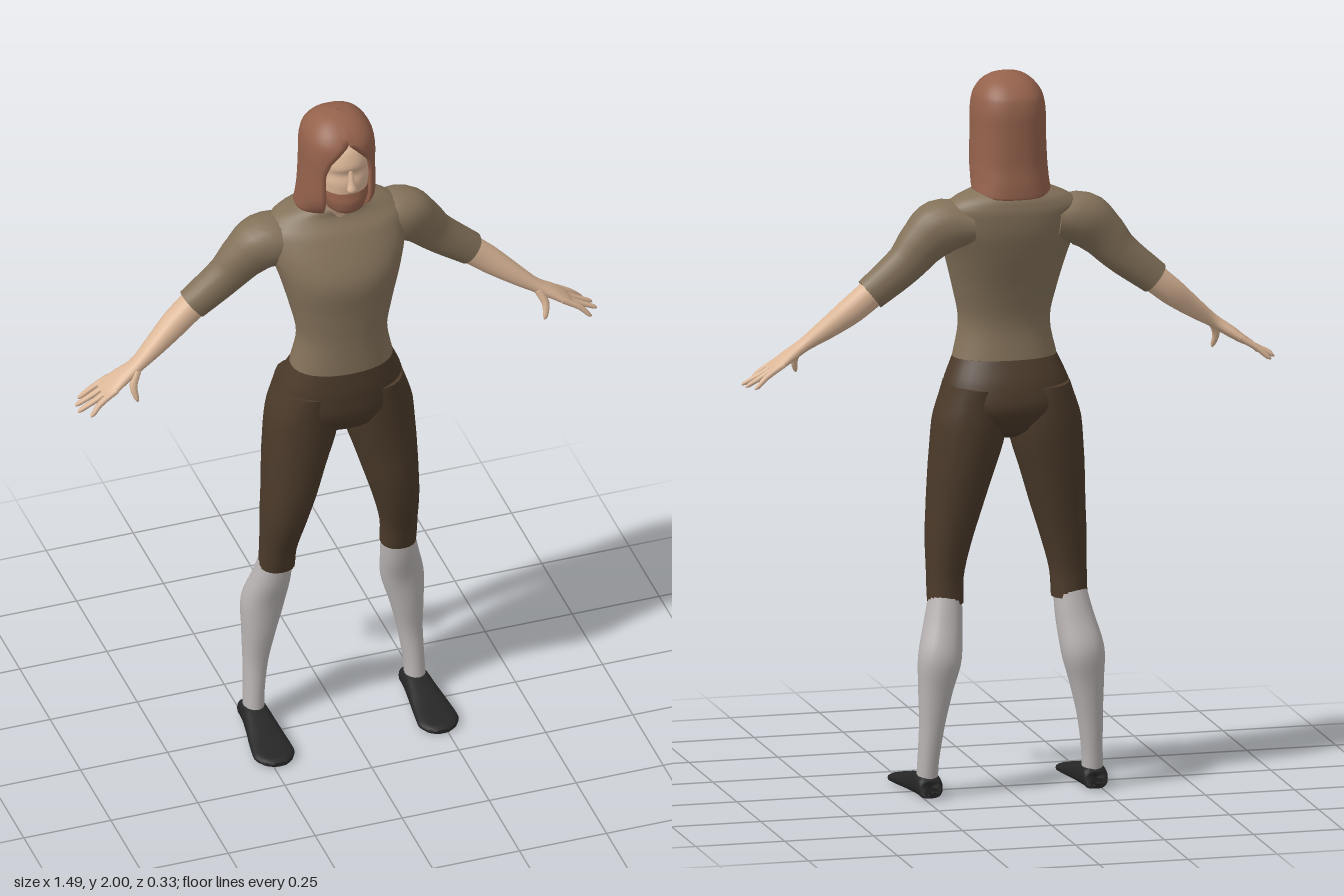
import * as THREE from 'three';

const mat = (name, color, extra = {}) => new THREE.MeshStandardMaterial({ name, color, ...extra });
const V = (x, y, z) => new THREE.Vector3(x, y, z);

// signed power used for superellipse cross-sections
const pw = (v, n) => Math.sign(v) * Math.pow(Math.abs(v), 2 / n);

// Loft through sections [x, y, z, a, b]: a is the half size across, b the half size in depth.
function loft(sections, { n = 2.2, seg = 20, sub = 4 } = {}) {
  const path = new THREE.CatmullRomCurve3(sections.map(s => V(s[0], s[1], s[2])));
  const size = new THREE.CatmullRomCurve3(sections.map(s => V(s[3], s[4], 0)));
  const rows = (sections.length - 1) * sub;
  const pos = [], idx = [], centres = [];
  for (let i = 0; i <= rows; i++) {
    const t = i / rows, p = path.getPoint(t), r = size.getPoint(t);
    const T = path.getPoint(Math.min(1, t + 0.01)).sub(path.getPoint(Math.max(0, t - 0.01)));
    let u, v = V(0, 0, 1);
    if (Math.abs(T.z) > Math.hypot(T.x, T.y)) { u = V(-Math.sign(T.z), 0, 0); v = V(0, 1, 0); }
    else u = V(T.y, -T.x, 0).normalize();
    centres.push(p);
    for (let j = 0; j < seg; j++) {
      const th = j / seg * Math.PI * 2;
      const q = p.clone().addScaledVector(u, pw(Math.cos(th), n) * Math.max(r.x, 0.001))
        .addScaledVector(v, pw(Math.sin(th), n) * Math.max(r.y, 0.001));
      pos.push(q.x, q.y, q.z);
    }
  }
  for (let i = 0; i < rows; i++) for (let j = 0; j < seg; j++) {
    const a = i * seg + j, b = i * seg + (j + 1) % seg;
    idx.push(a, a + seg, b, b, a + seg, b + seg);
  }
  // flat end caps with their own vertices
  for (const end of [0, rows]) {
    const base = pos.length / 3;
    pos.push(...pos.slice(end * seg * 3, (end + 1) * seg * 3));
    const c = centres[end];
    pos.push(c.x, c.y, c.z);
    for (let j = 0; j < seg; j++) {
      const a = base + j, b = base + (j + 1) % seg;
      end ? idx.push(base + seg, b, a) : idx.push(base + seg, a, b);
    }
  }
  return geometry(pos, idx);
}

function geometry(pos, idx) {
  const g = new THREE.BufferGeometry();
  g.setAttribute('position', new THREE.Float32BufferAttribute(pos, 3));
  g.setIndex(idx);
  g.computeVertexNormals();
  return g;
}

// Long hair: rows [y, half width, front z, back z, half gap around the face]
function hairGeometry() {
  const rows = [
    [1.695, 0.085, -0.02, -0.14, 0.05], [1.69, 0.105, 0.005, -0.163, 0.055], [1.72, 0.105, 0.045, -0.162, 0.06],
    [1.76, 0.103, 0.066, -0.156, 0.062], [1.84, 0.1, 0.07, -0.154, 0.063], [1.89, 0.1, 0.071, -0.153, 0.05],
    [1.925, 0.096, 0.068, -0.147, 0.02], [1.945, 0.09, 0.06, -0.138, 0], [1.97, 0.073, 0.04, -0.116, 0],
    [1.99, 0.045, 0.008, -0.08, 0], [2.0, 0.002, -0.035, -0.039, 0],
  ];
  const A = new THREE.CatmullRomCurve3(rows.map(r => V(r[0], r[1], r[2])));
  const B = new THREE.CatmullRomCurve3(rows.map(r => V(r[3], r[4], 0)));
  const pos = [], idx = [], N = 32, M = 40, W = N + 3, n = 2.4;
  for (let i = 0; i <= M; i++) {
    const a = A.getPoint(i / M), b = B.getPoint(i / M);
    const gap = Math.min(Math.max(b.y, 0), a.y * 0.95);
    const cz = (a.z + b.x) / 2, rz = (a.z - b.x) / 2;
    const a0 = Math.asin(Math.pow(gap / a.y, n / 2));
    for (let j = -1; j <= N + 1; j++) {
      const k = Math.min(Math.max(j, 0), N);
      const f = a0 + (Math.PI * 2 - 2 * a0) * k / N;
      const inner = j !== k && a.x < 1.95 ? 0.05 : 0;
      const z = cz + rz * pw(Math.cos(f), n) - inner;
      const droop = 0.025 * Math.max(0, -z / 0.16) * Math.max(0, 1 - (a.x - 1.69) / 0.1);
      pos.push(a.y * pw(Math.sin(f), n), a.x - droop, z);
    }
  }
  for (let i = 0; i < M; i++) for (let j = 0; j < W - 1; j++) {
    const a = i * W + j;
    idx.push(a, a + 1, a + W, a + 1, a + W + 1, a + W);
  }
  return geometry(pos, idx);
}

export function createModel() {
  const model = new THREE.Group();
  model.name = 'standingMan';
  const skin = mat('skin', 0xdcb798), shirt = mat('shirtBrown', 0x84725a), pants = mat('trouserBrown', 0x4b3a2a);
  const sock = mat('stockingGrey', 0xbab4b4), shoe = mat('shoeBlack', 0x262626);
  const hair = mat('hairBrown', 0x95624c, { side: THREE.DoubleSide });
  const add = (name, geo, material) => {
    const m = new THREE.Mesh(geo, material);
    m.name = name;
    model.add(m);
  };

  // trunk
  add('shirtBody', loft([
    [0, 1.195, -0.005, 0.146, 0.096], [0, 1.3, 0, 0.126, 0.09], [0, 1.4, -0.008, 0.145, 0.103],
    [0, 1.5, -0.022, 0.172, 0.122], [0, 1.57, -0.046, 0.194, 0.116], [0, 1.63, -0.067, 0.195, 0.1],
    [0, 1.665, -0.078, 0.155, 0.08], [0, 1.69, -0.068, 0.09, 0.066], [0, 1.7, -0.06, 0.05, 0.045],
  ], { seg: 32 }), shirt);
  add('trouserHips', loft([
    [0, 0.985, -0.02, 0.04, 0.05], [0, 1.01, -0.02, 0.12, 0.09], [0, 1.08, -0.025, 0.183, 0.12],
    [0, 1.14, -0.018, 0.172, 0.115], [0, 1.205, -0.005, 0.144, 0.097],
  ], { seg: 32 }), pants);

  // head
  add('neck', loft([[0, 1.64, -0.055, 0.025, 0.05], [0, 1.675, -0.05, 0.035, 0.054], [0, 1.71, -0.035, 0.052, 0.055],
    [0, 1.78, -0.03, 0.052, 0.055]]), skin);
  add('face', loft([
    [0, 1.725, 0.03, 0.02, 0.025], [0, 1.745, 0.016, 0.05, 0.06], [0, 1.785, 0, 0.066, 0.08],
    [0, 1.83, -0.005, 0.072, 0.086], [0, 1.855, -0.01, 0.073, 0.084], [0, 1.88, -0.01, 0.073, 0.09],
    [0, 1.92, -0.02, 0.07, 0.085], [0, 1.95, -0.03, 0.05, 0.06],
  ], { seg: 24 }), skin);
  add('beard', loft([
    [0, 1.718, 0.033, 0.02, 0.026], [0, 1.738, 0.019, 0.053, 0.064], [0, 1.775, 0.004, 0.068, 0.083],
    [0, 1.797, 0, 0.069, 0.082],
  ], { seg: 24 }), hair);
  add('nose', loft([[0, 1.872, 0.073, 0.006, 0.006], [0, 1.835, 0.082, 0.009, 0.011], [0, 1.815, 0.086, 0.014, 0.014],
    [0, 1.803, 0.083, 0.008, 0.008]], { seg: 10 }), skin);
  add('longHair', hairGeometry(), hair);

  // limbs, built once for each side
  for (const [side, s] of [['left', 1], ['right', -1]]) {
    const limb = (name, sections, material, opts) =>
      add(side + name, loft(sections.map(([x, ...r]) => [x * s, ...r]), opts), material);

    limb('Sleeve', [
      [0.12, 1.59, -0.075, 0.055, 0.08], [0.2, 1.583, -0.075, 0.075, 0.076], [0.25, 1.545, -0.08, 0.066, 0.06],
      [0.3, 1.49, -0.086, 0.055, 0.047], [0.4, 1.41, -0.088, 0.046, 0.042],
    ], shirt);
    limb('Forearm', [
      [0.38, 1.425, -0.087, 0.04, 0.037], [0.45, 1.367, -0.08, 0.037, 0.037], [0.52, 1.312, -0.063, 0.027, 0.031],
      [0.575, 1.272, -0.05, 0.018, 0.026], [0.62, 1.242, -0.05, 0.016, 0.036], [0.655, 1.218, -0.05, 0.012, 0.044],
      [0.672, 1.207, -0.05, 0.007, 0.04],
    ], skin);
    [0.725, 0.742, 0.745, 0.72].forEach((tip, k) => {
      const o = k - 1.5;
      limb('Finger' + (k + 1), [
        [0.64, 1.228, -0.05 + o * 0.022, 0.009, 0.01], [0.69, 1.196, -0.05 + o * 0.026, 0.008, 0.009],
        [tip - 0.008, 1.172, -0.05 + o * 0.03, 0.006, 0.007], [tip, 1.167, -0.05 + o * 0.031, 0.002, 0.003],
      ], skin, { seg: 8, sub: 3 });
    });
    limb('Thumb', [
      [0.575, 1.27, -0.035, 0.012, 0.014], [0.592, 1.23, -0.017, 0.011, 0.012],
      [0.587, 1.197, -0.004, 0.007, 0.008], [0.584, 1.188, -0.002, 0.003, 0.003],
    ], skin, { seg: 8, sub: 3 });

    limb('TrouserLeg', [
      [0.098, 1.13, -0.023, 0.075, 0.108], [0.106, 1.02, -0.027, 0.1, 0.107], [0.128, 0.9, -0.024, 0.088, 0.1],
      [0.145, 0.8, -0.018, 0.075, 0.092], [0.162, 0.7, -0.018, 0.062, 0.077], [0.173, 0.6, -0.027, 0.05, 0.056],
      [0.174, 0.53, -0.036, 0.049, 0.049],
    ], pants);
    limb('Stocking', [
      [0.172, 0.57, -0.035, 0.043, 0.043], [0.184, 0.48, -0.053, 0.052, 0.053], [0.2, 0.39, -0.078, 0.059, 0.057],
      [0.212, 0.3, -0.076, 0.047, 0.049], [0.222, 0.2, -0.075, 0.034, 0.04], [0.23, 0.1, -0.066, 0.028, 0.039],
      [0.232, 0.04, -0.06, 0.028, 0.038],
    ], sock);
    limb('Shoe', [
      [0.232, 0.018, -0.11, 0.018, 0.015], [0.232, 0.028, -0.098, 0.034, 0.028], [0.232, 0.033, -0.05, 0.037, 0.033],
      [0.233, 0.028, 0, 0.043, 0.028], [0.235, 0.02, 0.06, 0.052, 0.02], [0.236, 0.014, 0.12, 0.058, 0.014],
      [0.235, 0.011, 0.152, 0.042, 0.011], [0.234, 0.008, 0.165, 0.022, 0.006],
    ], shoe, { n: 2.8 });
  }
  return model;
}
